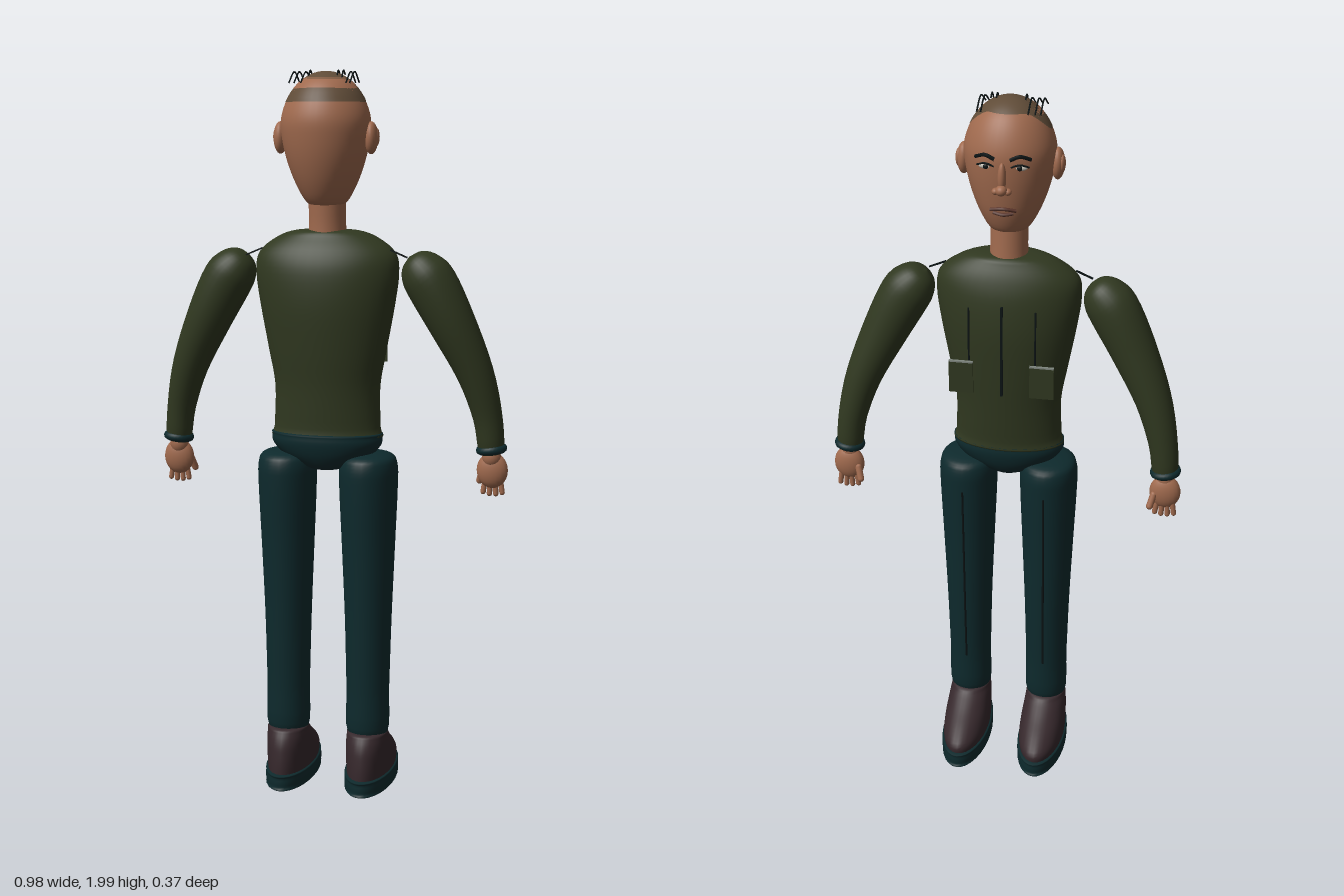
import * as THREE from 'three';
import { mergeVertices } from 'three/addons/utils/BufferGeometryUtils.js';

const mat = (name, color, side = THREE.FrontSide) => {
  const m = new THREE.MeshStandardMaterial({ color, side });
  m.name = name;
  return m;
};

// Smooth body from elliptical rings, bottom to top: [x, y, z, rx, rz, tilt]
function loft(rings, seg = 32, sub = 4) {
  const V = (a, b, c) => new THREE.Vector3(a, b, c);
  const centre = new THREE.CatmullRomCurve3(rings.map(r => V(r[0], r[1], r[2])), false, 'catmullrom');
  const size = new THREE.CatmullRomCurve3(rings.map(r => V(r[3], r[4], r[5] || 0)), false, 'catmullrom');
  const n = (rings.length - 1) * sub, pos = [], idx = [];
  for (let i = 0; i <= n; i++) {
    const c = centre.getPoint(i / n), s = size.getPoint(i / n);
    const rx = Math.max(s.x, 0), rz = Math.max(s.y, 0);
    for (let j = 0; j < seg; j++) {
      const a = j / seg * Math.PI * 2, u = Math.cos(a) * rx;
      pos.push(c.x + u * Math.cos(s.z), c.y + u * Math.sin(s.z), c.z + Math.sin(a) * rz);
      if (i < n) {
        const p = i * seg + j, q = i * seg + (j + 1) % seg;
        idx.push(p, p + seg, q, q, p + seg, q + seg);
      }
    }
  }
  const g = new THREE.BufferGeometry();
  g.setAttribute('position', new THREE.Float32BufferAttribute(pos, 3));
  g.setIndex(idx);
  g.computeVertexNormals();
  return g;
}

// Close-cropped hair: a dome whose hem rises over the forehead
function hairCap() {
  const g = new THREE.SphereGeometry(1, 40, 12, 0, Math.PI * 2, 0, 1);
  const p = g.attributes.position;
  for (let i = 0; i < p.count; i++) {
    const x = p.getX(i), z = p.getZ(i), az = Math.atan2(x, z);
    const front = THREE.MathUtils.smoothstep(-Math.cos(az), 0, 0.8);
    const t = Math.acos(THREE.MathUtils.clamp(p.getY(i), -1, 1)) * (1.06 - 0.45 * front);
    p.setXYZ(i, Math.sin(t) * Math.sin(az) * 0.124, Math.cos(t) * 0.158, Math.sin(t) * Math.cos(az) * 0.119);
  }
  g.deleteAttribute('uv');
  g.deleteAttribute('normal');
  const m = mergeVertices(g, 1e-5);
  m.computeVertexNormals();
  return m;
}

export function createModel() {
  const root = new THREE.Group();
  const skin = mat('skin', 0xa06a4e), sweater = mat('sweater green', 0x303820);
  const teal = mat('trouser teal', 0x0e2a2d), leather = mat('shoe brown', 0x36282c);
  const hair = mat('hair brown', 0x604c38, THREE.DoubleSide), dark = mat('dark line', 0x0b1314);
  const white = mat('eye white', 0xc4beb2), grey = mat('trim grey', 0x7e857e);
  const lips = mat('lip brown', 0x5a3328);

  const add = (name, geo, material, parent = root) => {
    const m = new THREE.Mesh(geo, material);
    m.name = name;
    parent.add(m);
    return m;
  };
  const ball = (name, material, x, y, z, rx, ry, rz, parent) => {
    const m = add(name, new THREE.SphereGeometry(1, 20, 14), material, parent);
    m.position.set(x, y, z);
    m.scale.set(rx, ry, rz);
    return m;
  };
  const box = (name, material, x, y, z, w, h, d, parent) => {
    const m = add(name, new THREE.BoxGeometry(w, h, d), material, parent);
    m.position.set(x, y, z);
    return m;
  };
  const rod = (name, material, pts, r, parent) => add(name, new THREE.TubeGeometry(
    new THREE.CatmullRomCurve3(pts.map(p => new THREE.Vector3(...p))), 10, r, 6), material, parent);

  // Torso, hips and neck
  add('torso', loft([
    [0, 1.01, 0.048, 0, 0], [0, 1.012, 0.048, 0.145, 0.08], [0, 1.04, 0.047, 0.148, 0.085],
    [0, 1.15, 0.045, 0.146, 0.094], [0, 1.25, 0.046, 0.163, 0.104], [0, 1.37, 0.047, 0.185, 0.112],
    [0, 1.46, 0.048, 0.197, 0.106], [0, 1.515, 0.047, 0.188, 0.09], [0, 1.555, 0.044, 0.14, 0.067],
    [0, 1.574, 0.043, 0.085, 0.05], [0, 1.578, 0.043, 0, 0]], 40), sweater);
  add('hips', loft([
    [0, 0.92, 0.05, 0, 0], [0, 0.925, 0.05, 0.05, 0.05], [0, 0.955, 0.05, 0.115, 0.075],
    [0, 0.99, 0.05, 0.15, 0.087], [0, 1.015, 0.05, 0.154, 0.088], [0, 1.026, 0.05, 0.14, 0.08],
    [0, 1.028, 0.05, 0, 0]]), teal);
  add('neck', loft([
    [0, 1.55, 0.045, 0.052, 0.054], [0, 1.6, 0.047, 0.05, 0.052], [0, 1.68, 0.052, 0.05, 0.052]]), skin);

  // Head
  const head = new THREE.Group();
  head.name = 'head';
  root.add(head);
  add('skull', loft([
    [0, 1.636, 0.053, 0, 0], [0, 1.639, 0.053, 0.032, 0.034], [0, 1.652, 0.054, 0.056, 0.06],
    [0, 1.70, 0.057, 0.083, 0.086], [0, 1.76, 0.061, 0.105, 0.104], [0, 1.82, 0.063, 0.118, 0.114],
    [0, 1.87, 0.064, 0.12, 0.115], [0, 1.92, 0.064, 0.104, 0.099], [0, 1.96, 0.064, 0.077, 0.073],
    [0, 1.985, 0.064, 0.04, 0.038], [0, 1.993, 0.064, 0, 0]], 40), skin, head);
  add('hairCap', hairCap(), hair, head).position.set(0, 1.836, 0.063);
  for (const x of [-0.088, -0.074, -0.056, 0.066, 0.076])
    rod('hairStrand', dark, [[x, 1.96, 0.12], [x, 1.992, 0.055], [x, 1.965, 0.0]], 0.0022, head);
  for (const x of [-0.04, 0.036, 0.05])
    rod('hairTuft', dark, [[x, 1.975, 0.095], [x, 1.995, 0.075], [x, 1.985, 0.055]], 0.0022, head);

  // Face
  ball('noseBridge', skin, 0, 1.815, -0.056, 0.011, 0.04, 0.014, head);
  ball('noseTip', skin, 0, 1.785, -0.066, 0.015, 0.014, 0.016, head);
  rod('upperLip', lips, [[-0.034, 1.722, -0.038], [0, 1.728, -0.046], [0.034, 1.722, -0.038]], 0.005, head);
  rod('lowerLip', lips, [[-0.026, 1.714, -0.037], [0, 1.711, -0.043], [0.026, 1.714, -0.037]], 0.005, head);

  for (const s of [-1, 1]) {
    ball('nostril', skin, s * 0.016, 1.78, -0.059, 0.01, 0.009, 0.011, head);
    rod('eyebrow', dark, [[s * 0.02, 1.862, -0.053], [s * 0.045, 1.872, -0.05], [s * 0.072, 1.862, -0.037]], 0.005, head);
    ball('eye', white, s * 0.044, 1.84, -0.041, 0.019, 0.008, 0.007, head);
    ball('iris', dark, s * 0.044, 1.84, -0.0465, 0.007, 0.007, 0.004, head);
    rod('eyelid', dark, [[s * 0.022, 1.842, -0.049], [s * 0.044, 1.85, -0.05], [s * 0.068, 1.842, -0.04]], 0.0025, head);
    ball('ear', skin, s * 0.124, 1.82, 0.068, 0.018, 0.043, 0.028, head);
    ball('earHollow', skin, s * 0.136, 1.822, 0.062, 0.009, 0.025, 0.016, head);

    // Arm, from wrist up to the rounded shoulder
    const arm = new THREE.Group();
    arm.name = s > 0 ? 'leftArm' : 'rightArm';
    root.add(arm);
    add('sleeve', loft([
      [0.447, 0.972, -0.008, 0, 0, 0.12], [0.447, 0.975, -0.008, 0.033, 0.033, 0.12],
      [0.436, 1.07, -0.003, 0.04, 0.042, 0.2], [0.403, 1.19, 0.012, 0.05, 0.053, 0.36],
      [0.342, 1.325, 0.03, 0.063, 0.064, 0.5], [0.287, 1.43, 0.038, 0.07, 0.067, 0.62],
      [0.255, 1.472, 0.04, 0.061, 0.058, 0.7], [0.232, 1.497, 0.04, 0.037, 0.037, 0.75],
      [0.223, 1.506, 0.04, 0, 0, 0.75]].map(r => [s * r[0], r[1], r[2], r[3], r[4], s * r[5]]), 28), sweater, arm);
    const cuff = add('cuff', new THREE.TorusGeometry(0.031, 0.012, 10, 28), teal, arm);
    cuff.position.set(s * 0.447, 0.982, -0.008);
    cuff.rotation.set(Math.PI / 2, s * 0.12, 0);

    // Hand
    ball('palm', skin, s * 0.449, 0.922, -0.015, 0.043, 0.05, 0.025, arm);
    ball('wrist', skin, s * 0.447, 0.96, -0.01, 0.026, 0.03, 0.023, arm);
    [-1.5, -0.5, 0.5, 1.5].forEach(k => {
      const f = add('finger', new THREE.CapsuleGeometry(0.0075, 0.04, 4, 10), skin, arm);
      f.position.set(s * (0.45 + k * 0.0155), 0.873 + Math.abs(k) * 0.004, -0.022);
      f.rotation.z = s * k * 0.1;
    });
    const thumb = add('thumb', new THREE.CapsuleGeometry(0.0095, 0.035, 4, 10), skin, arm);
    thumb.position.set(s * 0.415, 0.902, -0.036);
    thumb.rotation.set(0.35, 0, s * -0.25);

    // Leg
    const leg = new THREE.Group();
    leg.name = s > 0 ? 'leftLeg' : 'rightLeg';
    root.add(leg);
    const lx = s * 0.115;
    add('trouserLeg', loft([
      [lx, 0.16, 0.043, 0, 0], [lx, 0.163, 0.043, 0.056, 0.056], [lx, 0.3, 0.042, 0.06, 0.065],
      [lx, 0.5, 0.04, 0.065, 0.075], [lx, 0.7, 0.041, 0.073, 0.085], [lx, 0.87, 0.043, 0.08, 0.096],
      [lx, 0.935, 0.043, 0.079, 0.096], [lx, 0.963, 0.043, 0.062, 0.075], [lx, 0.973, 0.043, 0, 0]], 28), teal, leg);
    rod('trouserCrease', dark, [[lx, 0.3, -0.023], [lx, 0.5, -0.035], [lx, 0.7, -0.044], [lx, 0.88, -0.053]], 0.003, leg);

    // Shoe
    add('sole', loft([
      [lx, 0.004, -0.015, 0, 0], [lx, 0.005, -0.015, 0.062, 0.158], [lx, 0.015, -0.015, 0.07, 0.167],
      [lx, 0.04, -0.015, 0.07, 0.167], [lx, 0.05, -0.015, 0.062, 0.158], [lx, 0.051, -0.015, 0, 0]]), teal, leg);
    add('shoeUpper', loft([
      [lx, 0.04, -0.015, 0.064, 0.158], [lx, 0.07, -0.015, 0.066, 0.158], [lx, 0.1, 0.003, 0.065, 0.137],
      [lx, 0.13, 0.027, 0.062, 0.107], [lx, 0.158, 0.043, 0.058, 0.078], [lx, 0.172, 0.045, 0.052, 0.06],
      [lx, 0.174, 0.045, 0, 0]]), leather, leg);

    // Chest pocket and seams
    box('pocket', sweater, s * 0.11, 1.25, -0.07, 0.066, 0.09, 0.006);
    box('pocketTrim', grey, s * 0.11, 1.297, -0.071, 0.066, 0.004, 0.008);
    box('chestSeam', dark, s * 0.09, 1.33, -0.06, 0.004, 0.24, 0.006);
    const seam = box('shoulderSeam', dark, s * 0.2, 1.515, 0.066, 0.05, 0.004, 0.005);
    seam.rotation.z = s * -0.4;
  }
  box('frontPlacket', dark, 0, 1.33, -0.064, 0.006, 0.26, 0.008);
  return root;
}
